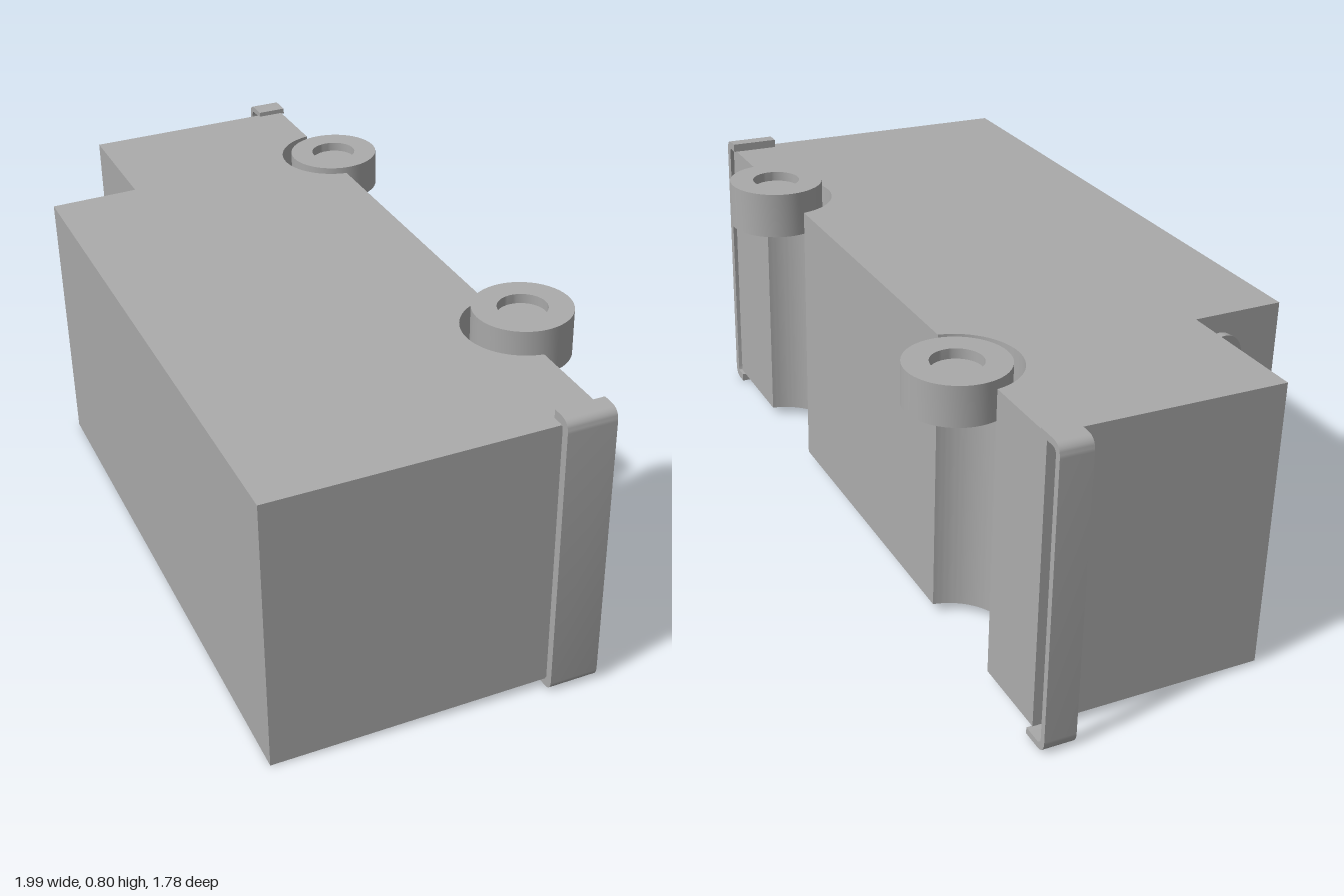
import * as THREE from 'three';
import { toCreasedNormals } from 'three/addons/utils/BufferGeometryUtils.js';

// Local axes: x = rearward, y = towards the roof, -z = the side that lies upward.
export function createModel() {
  const grey = new THREE.MeshStandardMaterial({ color: 0xaaaaaa });
  grey.name = 'plain grey';
  const van = new THREE.Group();
  van.name = 'van';

  const add = (name, geometry, x = 0, y = 0, z = 0) => {
    const mesh = new THREE.Mesh(toCreasedNormals(geometry, 0.6), grey);
    mesh.name = name;
    mesh.position.set(x, y, z);
    van.add(mesh);
    return mesh;
  };

  // Body: side outline with round wheel arches, extruded across the full width
  const frontX = -0.658, rearX = 0.48, axleY = -0.376, floorY = -0.353;
  const archR = 0.15, width = 0.725;
  const a = Math.asin((floorY - axleY) / archR);
  const outline = new THREE.Shape();
  outline.moveTo(-1.026, floorY);
  for (const x of [frontX, rearX]) {
    outline.lineTo(x - archR * Math.cos(a), floorY);
    outline.absarc(x, axleY, archR, Math.PI - a, a, true);
  }
  outline.lineTo(0.909, floorY);
  outline.lineTo(0.909, 0.475);
  outline.lineTo(-0.662, 0.475);
  outline.lineTo(-0.668, 0.235);
  outline.lineTo(-1.026, 0.235);
  outline.closePath();
  add('body', new THREE.ExtrudeGeometry(outline, { depth: width, bevelEnabled: false, curveSegments: 32 }), 0, 0, -width / 2);

  // Wheels: short cylinders with a recessed hub, on the upper side only
  const wheel = (name, x, bottom, height) => {
    const profile = [[0, 0], [0.124, 0], [0.124, height], [0.062, height], [0.062, height - 0.025], [0, height - 0.025]];
    const geometry = new THREE.LatheGeometry(profile.map(p => new THREE.Vector2(...p)), 48);
    geometry.rotateX(-Math.PI / 2);
    add(name, geometry, x, axleY, -bottom);
  };
  wheel('frontWheel', frontX, 0.268, 0.1);
  wheel('rearWheel', rearX, 0.291, 0.12);

  // Bumpers: C-shaped straps with rounded corners
  const bumper = (name, inner, outer, z0, z1, t, yLow, yHigh) => {
    const d = Math.sign(outer - inner), r = 0.032, q = r - t;
    const s = new THREE.Shape();
    s.moveTo(inner, z0);
    s.lineTo(outer - d * r, z0);
    s.quadraticCurveTo(outer, z0, outer, z0 + r);
    s.lineTo(outer, z1 - r);
    s.quadraticCurveTo(outer, z1, outer - d * r, z1);
    s.lineTo(inner, z1);
    s.lineTo(inner, z1 - t);
    s.lineTo(outer - d * r, z1 - t);
    s.quadraticCurveTo(outer - d * t, z1 - t, outer - d * t, z1 - t - q);
    s.lineTo(outer - d * t, z0 + t + q);
    s.quadraticCurveTo(outer - d * t, z0 + t, outer - d * r, z0 + t);
    s.lineTo(inner, z0 + t);
    s.closePath();
    const geometry = new THREE.ExtrudeGeometry(s, { depth: yHigh - yLow, bevelEnabled: false, curveSegments: 8 });
    geometry.rotateX(Math.PI / 2);
    add(name, geometry, 0, yHigh, 0);
  };
  bumper('frontBumper', -1.015, -1.096, -0.375, 0.386, 0.016, -0.362, -0.282);
  bumper('rearBumper', 0.878, 0.936, -0.386, 0.384, 0.022, -0.362, -0.236);

  // Steering wheel: small tilted disc against the windscreen
  const disc = new THREE.CylinderGeometry(0.06, 0.06, 0.02, 32);
  disc.rotateZ(Math.PI / 2 - 0.12);
  add('steeringWheel', disc, -0.685, 0.298, -0.26);

  // Lay the van on its side, turned and slightly tilted
  const tilt = 0.029, turn = 0.551;
  const X = new THREE.Vector3(Math.cos(turn), 0, Math.sin(turn));
  const Y = new THREE.Vector3(-Math.sin(turn), -tilt, Math.cos(turn)).normalize();
  const Z = new THREE.Vector3().crossVectors(X, Y);
  van.quaternion.setFromRotationMatrix(new THREE.Matrix4().makeBasis(X, Y, Z));
  van.position.y = 0.381;

  const model = new THREE.Group();
  model.name = 'model';
  model.add(van);
  return model;
}
